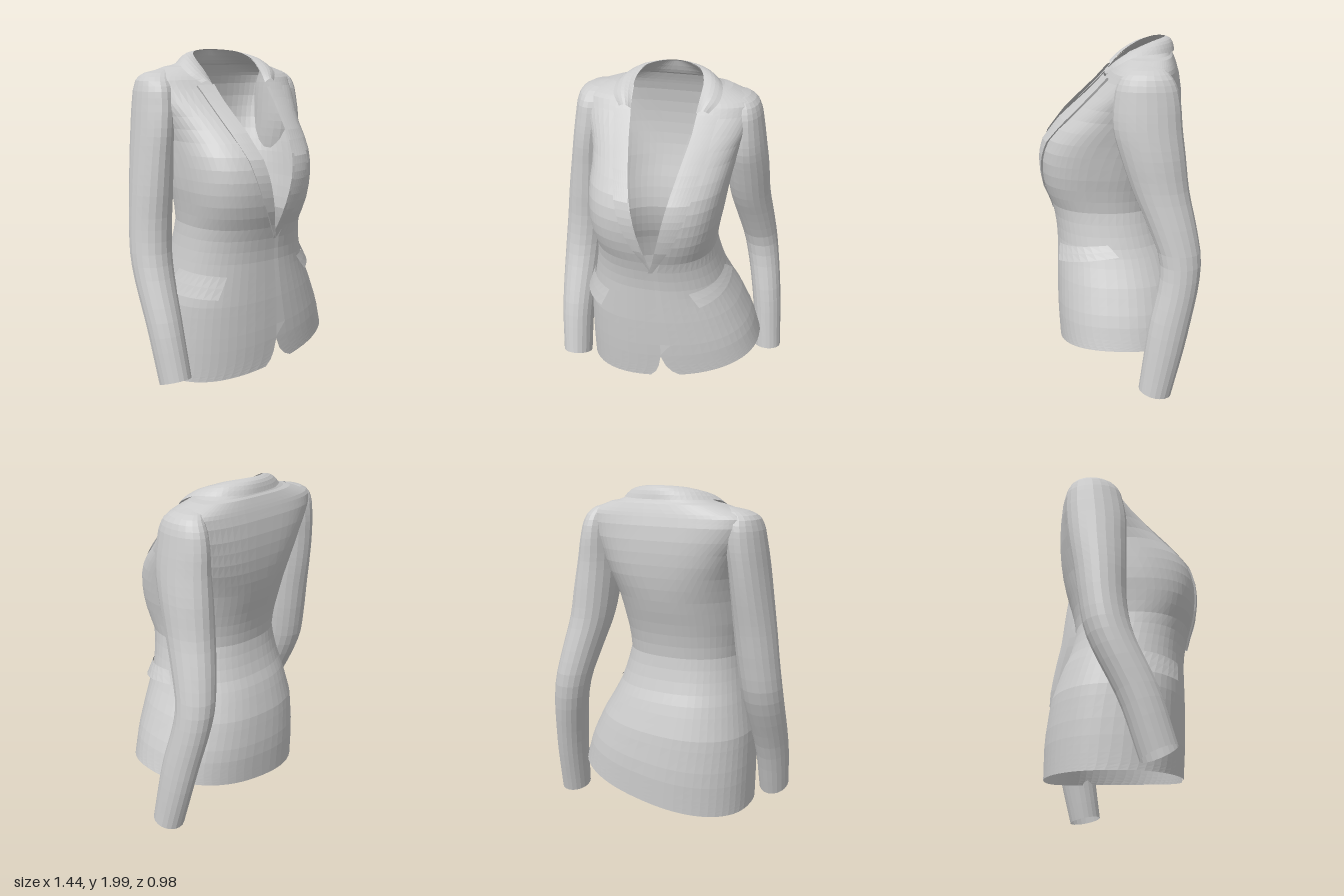
import * as THREE from 'three';

const material = new THREE.MeshStandardMaterial({ color: 0xcccccc, flatShading: true, side: THREE.DoubleSide });

// Surface patch from a rule f(u, v) -> [x, y, z], u and v in 0..1
function patch(name, cols, rows, f) {
  const pos = [], index = [];
  for (let j = 0; j <= rows; j++)
    for (let i = 0; i <= cols; i++) pos.push(...f(i / cols, j / rows));
  for (let j = 0; j < rows; j++)
    for (let i = 0; i < cols; i++) {
      const a = j * (cols + 1) + i, b = a + 1, c = a + cols + 1, d = c + 1;
      index.push(a, b, d, a, d, c);
    }
  const g = new THREE.BufferGeometry();
  g.setAttribute('position', new THREE.Float32BufferAttribute(pos, 3));
  g.setIndex(index);
  g.computeVertexNormals();
  const mesh = new THREE.Mesh(g, material);
  mesh.name = name;
  return mesh;
}

// Smooth or straight interpolation of rows keyed by their first number
function table(rows, smooth = true) {
  const Type = smooth ? THREE.CubicInterpolant : THREE.LinearInterpolant;
  const it = new Type(rows.map(r => r[0]), rows.flatMap(r => r.slice(1)), rows[0].length - 1);
  return t => Array.from(it.evaluate(t));
}

// Torso sections: height, right x, left x, front z, back z
const torso = table([
  [0, -0.53, 0.59, 0.38, -0.425], [0.25, -0.53, 0.54, 0.395, -0.425],
  [0.5, -0.52, 0.46, 0.40, -0.395], [0.7, -0.48, 0.38, 0.40, -0.34],
  [0.8, -0.46, 0.35, 0.40, -0.30], [0.9, -0.44, 0.32, 0.41, -0.27],
  [1.0, -0.43, 0.30, 0.435, -0.255], [1.1, -0.44, 0.31, 0.468, -0.265],
  [1.2, -0.455, 0.33, 0.483, -0.29], [1.3, -0.46, 0.345, 0.485, -0.32],
  [1.4, -0.46, 0.36, 0.46, -0.345], [1.5, -0.46, 0.38, 0.39, -0.36],
  [1.6, -0.48, 0.40, 0.29, -0.367], [1.7, -0.53, 0.44, 0.18, -0.362],
  [1.78, -0.565, 0.46, 0.10, -0.35], [1.83, -0.57, 0.465, 0.06, -0.335],
  [1.85, -0.545, 0.445, 0.04, -0.328], [1.87, -0.485, 0.40, 0.02, -0.32],
  [1.9, -0.39, 0.32, -0.013, -0.307],
], false);

// Front edges: height, right panel x, left panel x; the right laps over the left
const opening = table([
  [0, -0.05, 0.14], [0.04, -0.015, 0.09], [0.1, 0.005, 0.05], [0.2, 0.02, 0.015],
  [0.5, 0.01, -0.02], [0.93, -0.02, -0.045], [1.0, -0.045, -0.018], [1.2, -0.095, 0.03],
  [1.4, -0.14, 0.075], [1.6, -0.19, 0.125], [1.7, -0.212, 0.15], [1.8, -0.226, 0.16],
  [1.9, -0.235, 0.165],
], false);

const { smoothstep, clamp } = THREE.MathUtils;
const bulge = (v, p) => Math.sign(v) * Math.abs(v) ** p;
// Squareness of the sections: full bust in front, flat shoulder blades behind
const frontPower = y => 0.85 - 0.13 * smoothstep(y, 0.95, 1.15) * (1 - smoothstep(y, 1.35, 1.6));
const backPower = y => 0.85 - 0.2 * smoothstep(y, 1.3, 1.6);

// Point on the torso at row y and angle a (90 degrees = front), pushed out by off
function torsoPoint(y, a, off = 0) {
  const [x0, x1, zf, zb] = torso(y);
  const hx = (x1 - x0) / 2, hz = (zf - zb) / 2, c = Math.cos(a), s = Math.sin(a);
  const n = Math.hypot(c / hx, s / hz), p = s < 0 ? backPower(y) : frontPower(y);
  const x = (x0 + x1) / 2 + hx * bulge(c, p) + off * c / hx / n;
  const z = (zf + zb) / 2 + hz * bulge(s, p) + off * s / hz / n;
  // the hem slants from side to side
  const hem = (0.118 + 0.18 * x + 0.07 * x * x) * Math.max(0, 1 - y / 0.8);
  return [x, y + hem + (y > 1.5 ? off * 0.7 : 0), z];
}

// Angle at which the front of row y reaches a given x
function angleAt(y, x) {
  const [x0, x1] = torso(y);
  const r = clamp((2 * x - x0 - x1) / (x1 - x0), -1, 1);
  return Math.acos(bulge(r, 1 / frontPower(y)));
}

// Open ring around the body from the left front edge, over the back, to the right
function around(y, u) {
  const [xr, xl] = opening(y);
  const start = angleAt(y, xl), end = angleAt(y, xr) - 2 * Math.PI;
  return torsoPoint(y, start + (end - start) * u, u === 0 && y > 0.25 && y < 0.95 ? -0.007 : 0);
}

// Lapel along one front edge out to the given outline, with a turned-down rim
function lapel(name, side, outline) {
  return patch(name, 7, 20, (u, v) => {
    const y = 0.93 + 0.865 * v, w = Math.min(1, u * 7 / 6);
    const inner = angleAt(y, opening(y)[side]), outer = angleAt(y, outline(y)[0]);
    return torsoPoint(y, inner + (outer - inner) * w, u === 1 ? -0.002 : 0.015 - 0.005 * w);
  });
}

// Collar curve from a right-hand half, mirrored about the neck centre
function collarCurve(half) {
  const mid = -0.036;
  const left = half.slice(0, -1).reverse().map(([x, y, z]) => [2 * mid - x, y, z]);
  return new THREE.CatmullRomCurve3([...half, ...left].map(p => new THREE.Vector3(...p)));
}

// Sleeve from rows: height, x min, x max, z back, z front; cuff slants up to the front
function sleeve(name, slant, rows) {
  const at = table(rows), y0 = rows[0][0], y1 = rows[rows.length - 1][0];
  return patch(name, 20, 32, (u, v) => {
    const y = y0 + (y1 - y0) * (1 - (1 - v) ** 1.6);
    const [xa, xb, za, zb] = at(y), a = u * 2 * Math.PI;
    const dz = (zb - za) / 2 * Math.sin(a);
    const tilt = slant * dz * Math.max(0, 1 - y / 0.9);
    return [(xa + xb) / 2 + (xb - xa) / 2 * Math.cos(a), y + tilt, (za + zb) / 2 + dz];
  });
}

// Pocket flap: angles and [top, bottom] heights at its front and rear ends
function flap(name, a0, a1, skew, front, rear) {
  return patch(name, 8, 2, (u, v) => {
    const top = front[0] + (rear[0] - front[0]) * u;
    const low = front[1] + (rear[1] - front[1]) * u;
    const y = top + (low - top) * v;
    const [x, , z] = torsoPoint(y, a0 + (a1 - a0) * u + skew * v, 0.008 + 0.025 * v);
    return [x, y, z];
  });
}

export function createModel() {
  const jacket = new THREE.Group();
  jacket.name = 'jacket';

  // Collar: a band from the neckline to its outer edge, rising to the back of the neck
  const neckline = collarCurve([
    [-0.226, 1.805, 0.075], [-0.236, 1.88, 0.005], [-0.236, 1.945, -0.09],
    [-0.2, 1.983, -0.18], [-0.12, 1.997, -0.24], [-0.036, 2.0, -0.262],
  ]);
  const outerEdge = collarCurve([
    [-0.298, 1.812, 0.07], [-0.348, 1.865, 0.005], [-0.345, 1.915, -0.1],
    [-0.29, 1.925, -0.225], [-0.17, 1.925, -0.3], [-0.036, 1.925, -0.318],
  ]);
  jacket.add(patch('collar', 44, 5, (u, v) => {
    const p = neckline.getPoint(u).lerp(outerEdge.getPoint(u), v);
    const rise = 0.018 * Math.sin(Math.PI * v), back = Math.sin(Math.PI * u);
    return [p.x, Math.min(2, p.y + rise), p.z + rise * (0.5 - back)];
  }));

  // Body, with denser rows at the rounded front hem and over the shoulders
  const heights = [0, 0.02, 0.04, 0.07, 0.1, 0.15, 0.2];
  for (let y = 0.3; y < 1.75; y += 0.07) heights.push(y);
  heights.push(1.78, 1.805, 1.83, 1.84, 1.85, 1.86, 1.87, 1.885, 1.9);
  const n = heights.length - 1;
  jacket.add(patch('body', 56, n, (u, v) => around(heights[Math.round(v * n)], u)));

  // Yoke closing the shoulders up to the neckline, under the collar
  jacket.add(patch('yoke', 56, 4, (u, v) => {
    const p = new THREE.Vector3(...around(1.9, u));
    const q = neckline.getPoint(0.85 - 0.7 * u);
    return [p.x + (q.x - p.x) * v, p.y + (q.y - 0.005 - p.y) * v ** 1.6, p.z + (q.z - p.z) * v];
  }));

  // Lapels: height, outer x
  jacket.add(lapel('rightLapel', 0, table([
    [0.93, -0.027], [1.05, -0.09], [1.15, -0.145], [1.3, -0.2], [1.55, -0.265], [1.76, -0.315], [1.8, -0.33],
  ], false)));
  jacket.add(lapel('leftLapel', 1, table([
    [0.93, -0.02], [1.05, 0.05], [1.15, 0.105], [1.3, 0.165], [1.55, 0.235], [1.76, 0.27], [1.8, 0.285],
  ], false)));

  // Sleeves, each in its own pose, leaning into the shoulder at the top
  jacket.add(sleeve('leftSleeve', 0.2, [
    [0.025, 0.54, 0.72, -0.33, -0.14], [0.4, 0.5, 0.69, -0.42, -0.19],
    [0.8, 0.42, 0.635, -0.485, -0.25], [1.0, 0.37, 0.605, -0.455, -0.18],
    [1.2, 0.325, 0.575, -0.41, -0.09], [1.4, 0.31, 0.56, -0.385, -0.02],
    [1.55, 0.31, 0.54, -0.365, 0.02], [1.7, 0.315, 0.515, -0.35, 0.015],
    [1.79, 0.32, 0.495, -0.325, -0.005], [1.84, 0.325, 0.465, -0.29, -0.04],
    [1.87, 0.325, 0.41, -0.25, -0.09], [1.885, 0.33, 0.35, -0.19, -0.15],
  ]));
  jacket.add(sleeve('rightSleeve', 0.45, [
    [0.105, -0.69, -0.505, 0.13, 0.33], [0.4, -0.71, -0.505, 0.03, 0.25],
    [0.8, -0.72, -0.475, -0.16, 0.1], [1.0, -0.705, -0.455, -0.2, 0.07],
    [1.2, -0.685, -0.44, -0.23, 0.07], [1.4, -0.66, -0.43, -0.265, 0.07],
    [1.55, -0.64, -0.42, -0.285, 0.07], [1.7, -0.62, -0.4, -0.295, 0.05],
    [1.8, -0.6, -0.4, -0.285, 0.02], [1.85, -0.57, -0.4, -0.26, -0.03],
    [1.875, -0.51, -0.4, -0.23, -0.08], [1.89, -0.43, -0.41, -0.17, -0.14],
  ]));

  // Pocket flaps
  jacket.add(flap('leftPocketFlap', 1.02, 0, -0.1, [0.77, 0.68], [0.82, 0.76]));
  jacket.add(flap('rightPocketFlap', Math.PI - 0.98, Math.PI - 0.1, 0.1, [0.72, 0.59], [0.74, 0.6]));

  return jacket;
}
